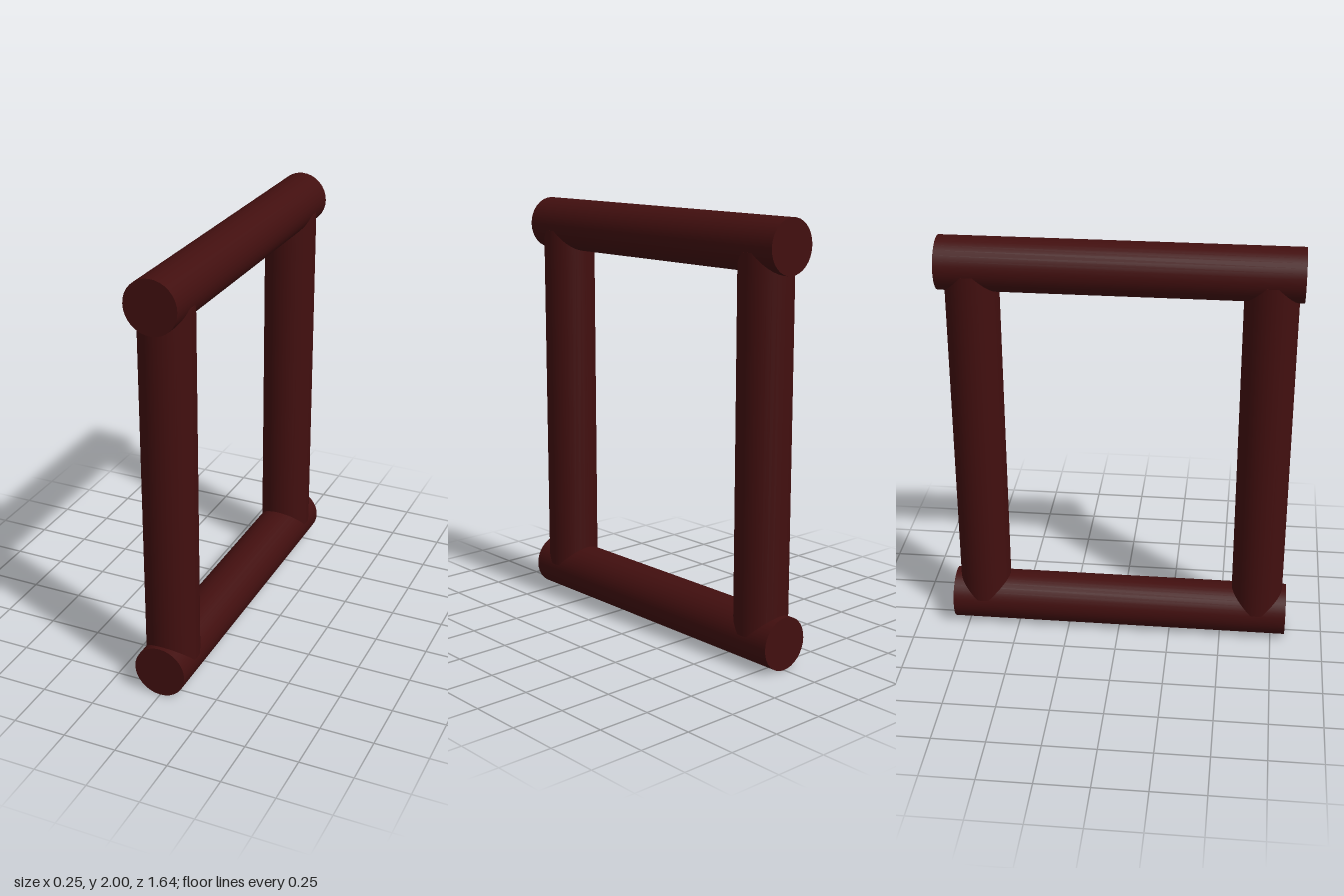
import * as THREE from 'three';

const RADIUS = 0.123;
const SIDES = 32;

export function createModel() {
  const group = new THREE.Group();
  group.name = 'rectangularFrame';
  const material = new THREE.MeshStandardMaterial({ color: 0x420f0f });

  const addLog = (name, length, y, z, horizontal) => {
    const log = new THREE.Mesh(new THREE.CylinderGeometry(RADIUS, RADIUS, length, SIDES), material);
    log.name = name;
    log.position.set(0, y, z);
    if (horizontal) log.rotation.x = Math.PI / 2;
    group.add(log);
  };

  // Horizontal rails running front to back
  addLog('bottomRail', 1.636, RADIUS, 0, true);
  addLog('topRail', 1.636, 2 - RADIUS, 0, true);

  // Upright posts, their ends sunk into the rails
  addLog('frontPost', 1.7, 1, 0.675, false);
  addLog('backPost', 1.7, 1, -0.67, false);

  return group;
}
